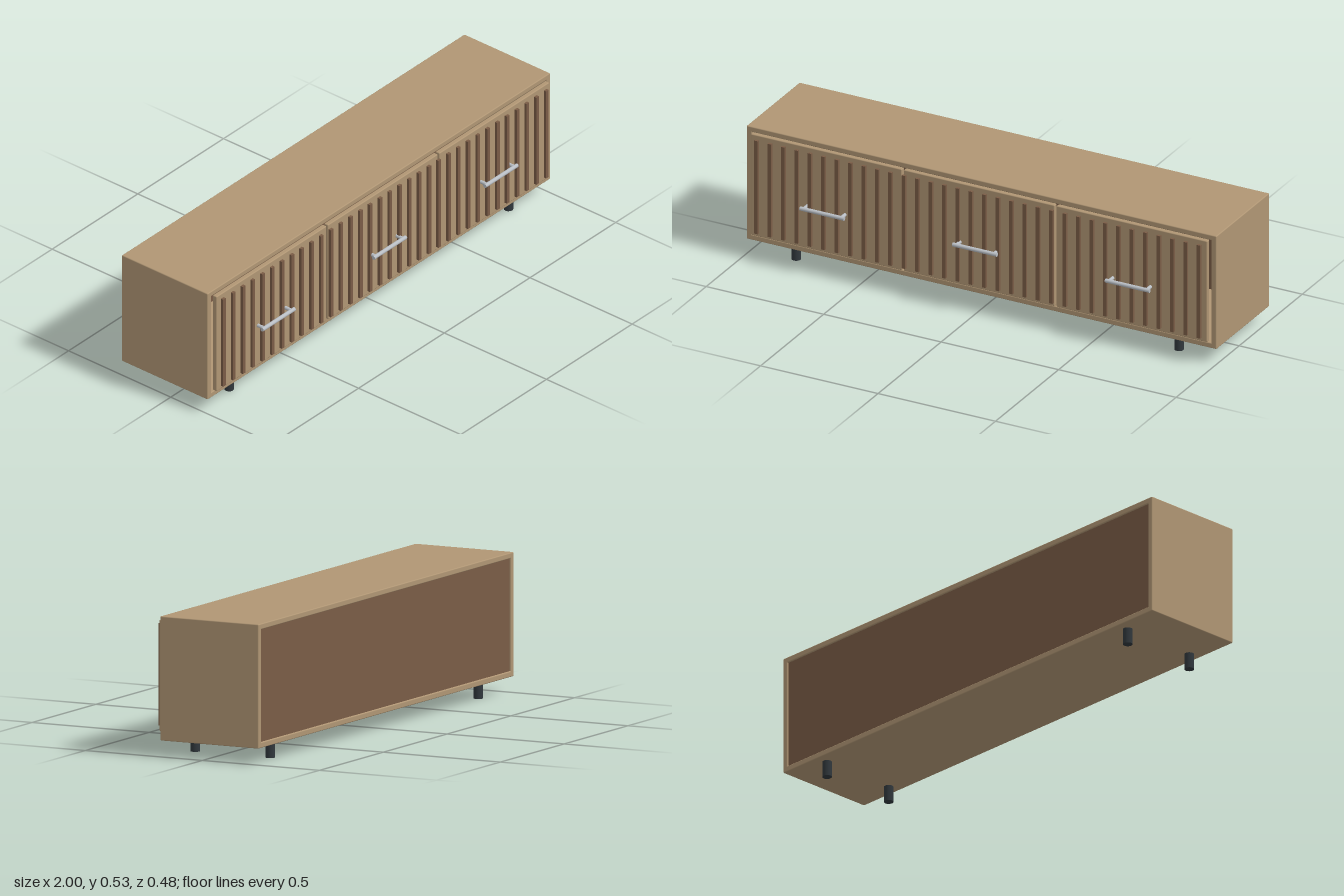
import * as THREE from 'three';
import { RoundedBoxGeometry } from 'three/addons/geometries/RoundedBoxGeometry.js';

const material = (name, color) => {
  const m = new THREE.MeshStandardMaterial({ color });
  m.name = name;
  return m;
};

export function createModel() {
  const model = new THREE.Group();
  model.name = 'sideboard';
  const oak = material('oak', 0xb09674);
  const walnut = material('walnut', 0x7a5c46);
  const steel = material('steel', 0xb9bec4);
  const charcoal = material('charcoal', 0x30373c);

  const add = (parent, name, geometry, mat, x, y, z) => {
    const mesh = new THREE.Mesh(geometry, mat);
    mesh.name = name;
    mesh.position.set(x, y, z);
    parent.add(mesh);
    return mesh;
  };
  const panel = (w, h, d) => new RoundedBoxGeometry(w, h, d, 2, 0.004);

  // Open carcass: two sides, top and bottom
  const bottom = 0.062, top = 0.534, back = -0.24, front = 0.18, t = 0.022;
  const midY = (bottom + top) / 2, midZ = (back + front) / 2;
  const height = top - bottom, depth = front - back;
  for (const s of [1, -1]) {
    add(model, s > 0 ? 'leftSide' : 'rightSide', panel(t, height, depth), oak, s * (1 - t / 2), midY, midZ);
  }
  add(model, 'topPanel', panel(2 - t, t, depth), oak, 0, top - t / 2, midZ);
  add(model, 'bottomPanel', panel(2 - t, t, depth), oak, 0, bottom + t / 2, midZ);

  // Recessed back panel
  add(model, 'backPanel', new THREE.BoxGeometry(2 - 2 * t, height - 2 * t, 0.01), walnut, 0, midY, back + 0.011);

  // Three doors, each with a bar handle on two posts
  const handleY = 0.27, barZ = 0.232;
  const doorGeometry = panel(0.642, 0.422, 0.02);
  const barGeometry = new THREE.CylinderGeometry(0.008, 0.008, 0.188, 20).rotateZ(Math.PI / 2);
  const postGeometry = new THREE.CylinderGeometry(0.007, 0.007, barZ - 0.199, 16).rotateX(Math.PI / 2);
  for (const x of [-0.65, 0, 0.65]) {
    add(model, 'door', doorGeometry, oak, x, 0.304, 0.19);
    const handle = new THREE.Group();
    handle.name = 'handle';
    handle.position.set(x, handleY, 0);
    add(handle, 'handleBar', barGeometry, steel, 0, 0, barZ);
    for (const s of [1, -1]) {
      add(handle, 'handlePost', postGeometry, steel, s * 0.08, 0, (barZ + 0.199) / 2);
    }
    model.add(handle);
  }

  // Evenly spaced vertical slats across the whole front
  const count = 34, reach = 0.942;
  const slatGeometry = new THREE.BoxGeometry(0.015, 0.388, 0.011);
  for (let i = 0; i < count; i++) {
    add(model, 'slat', slatGeometry, walnut, -reach + (2 * reach * i) / (count - 1), 0.304, 0.209);
  }

  // Four round legs
  const legGeometry = new THREE.CylinderGeometry(0.018, 0.018, bottom + 0.002, 24);
  for (const x of [-0.815, 0.815]) {
    for (const z of [0.131, -0.189]) {
      add(model, 'leg', legGeometry, charcoal, x, (bottom + 0.002) / 2, z);
    }
  }
  return model;
}
